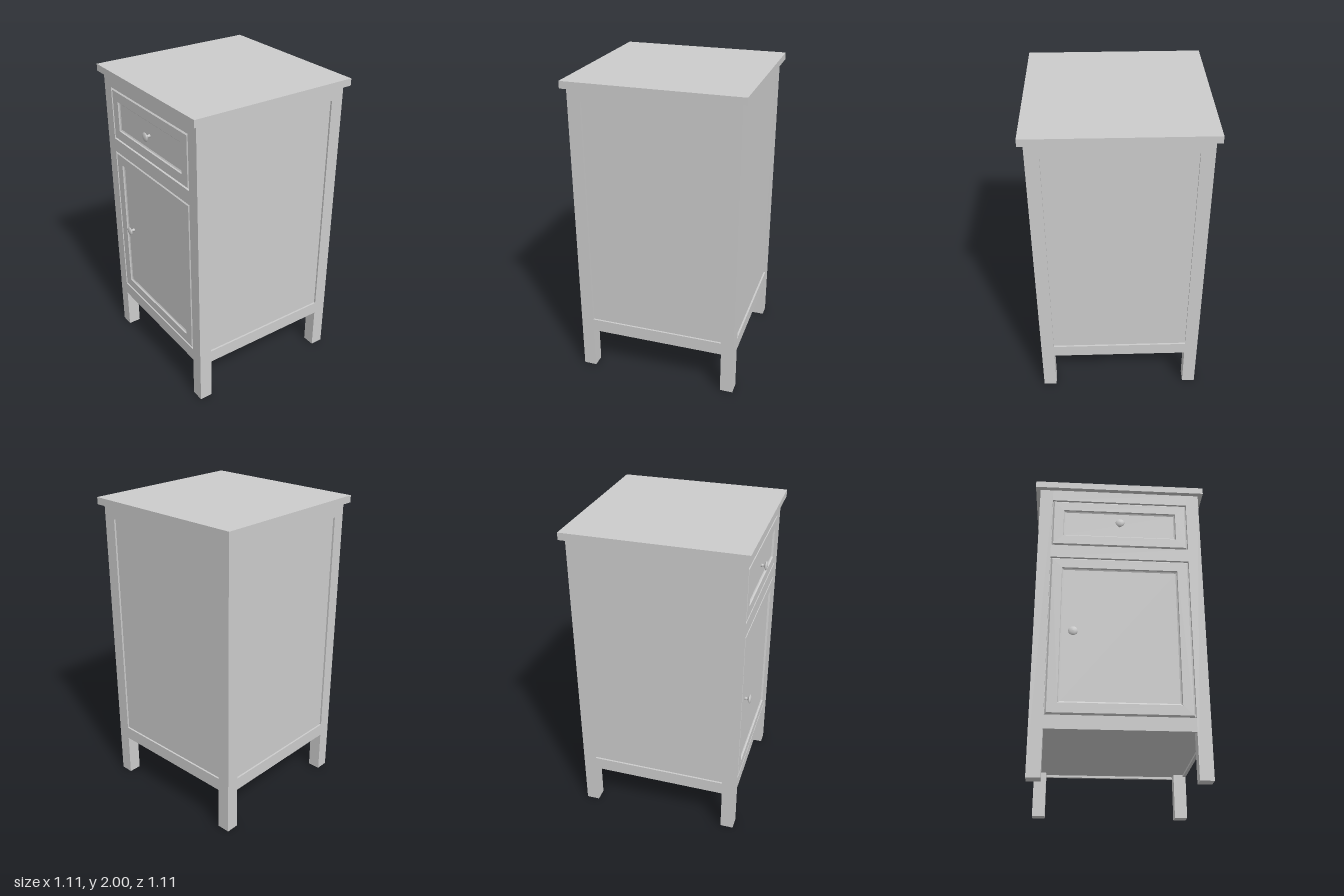
import * as THREE from 'three';

const material = new THREE.MeshStandardMaterial({ color: 0xcccccc });
const HALF = 0.527; // half width of the carcass
const POST = 0.084; // leg thickness
const RAIL = 0.02; // rail thickness

export function createModel() {
  const model = new THREE.Group();

  const add = (name, geometry, x, y, z, parent = model) => {
    const mesh = new THREE.Mesh(geometry, material);
    mesh.name = name;
    mesh.position.set(x, y, z);
    parent.add(mesh);
    return mesh;
  };
  const box = (name, w, h, d, x, y, z, parent) =>
    add(name, new THREE.BoxGeometry(w, h, d), x, y, z, parent);

  // Top board
  box('top', 1.114, 0.045, 1.114, 0, 1.9775, 0);

  // Corner posts running down into the legs
  const c = HALF - POST / 2;
  for (const x of [-c, c]) for (const z of [-c, c]) box('leg', POST, 1.955, POST, x, 0.9775, z);

  // Inner case: recessed side and back panels and the floor
  box('casePanels', 1.03, 1.655, 1.015, 0, 1.1275, -0.0075);

  // Rails between the posts on every side; the front has one more
  const railSpan = 2 * (HALF - POST);
  for (let side = 0; side < 4; side++) {
    const frame = new THREE.Group();
    frame.name = ['frontRails', 'leftRails', 'backRails', 'rightRails'][side];
    frame.rotation.y = side * Math.PI / 2;
    model.add(frame);
    const rails = [[0.285, 0.37], [1.875, 1.955]];
    if (side === 0) rails.push([1.435, 1.525]);
    for (const [low, high] of rails)
      box('rail', railSpan, high - low, RAIL, 0, (low + high) / 2, HALF - RAIL / 2, frame);
  }

  // Drawer and door fronts with chamfered edges and a sunk panel
  const frontPanel = (name, low, high) =>
    add(name, panelGeometry(0.439, (high - low) / 2 - 0.004), 0, (low + high) / 2, HALF);
  frontPanel('drawerFront', 1.525, 1.875);
  frontPanel('door', 0.37, 1.435);

  // Knobs
  const profile = [[0, 0], [0.012, 0], [0.008, 0.01], [0.008, 0.018], [0.018, 0.025],
    [0.027, 0.029], [0.029, 0.032], [0.026, 0.036], [0.015, 0.040], [0, 0.041]];
  const knob = new THREE.LatheGeometry(profile.map(([r, h]) => new THREE.Vector2(r, h)), 32);
  knob.rotateX(Math.PI / 2);
  add('drawerKnob', knob, 0, 1.7, 0.515);
  add('doorKnob', knob, -0.287, 0.902, 0.515);

  return model;
}

// Rectangular rings [inset, z] joined by flat faces, closed in the middle
function panelGeometry(hw, hh) {
  const rings = [[0, -0.02], [0, -0.01], [0.01, 0], [0.072, 0], [0.076, -0.008], [0.084, -0.012]];
  const corners = rings.map(([inset, z]) =>
    [[-1, -1], [1, -1], [1, 1], [-1, 1]].map(([sx, sy]) => [sx * (hw - inset), sy * (hh - inset), z]));
  const points = [];
  const quad = (a, b, c, d) => points.push(...a, ...b, ...c, ...a, ...c, ...d);
  for (let i = 0; i < rings.length - 1; i++)
    for (let k = 0; k < 4; k++) {
      const n = (k + 1) % 4;
      quad(corners[i][k], corners[i][n], corners[i + 1][n], corners[i + 1][k]);
    }
  quad(...corners[rings.length - 1]);
  const geometry = new THREE.BufferGeometry();
  geometry.setAttribute('position', new THREE.Float32BufferAttribute(points, 3));
  geometry.computeVertexNormals();
  return geometry;
}
